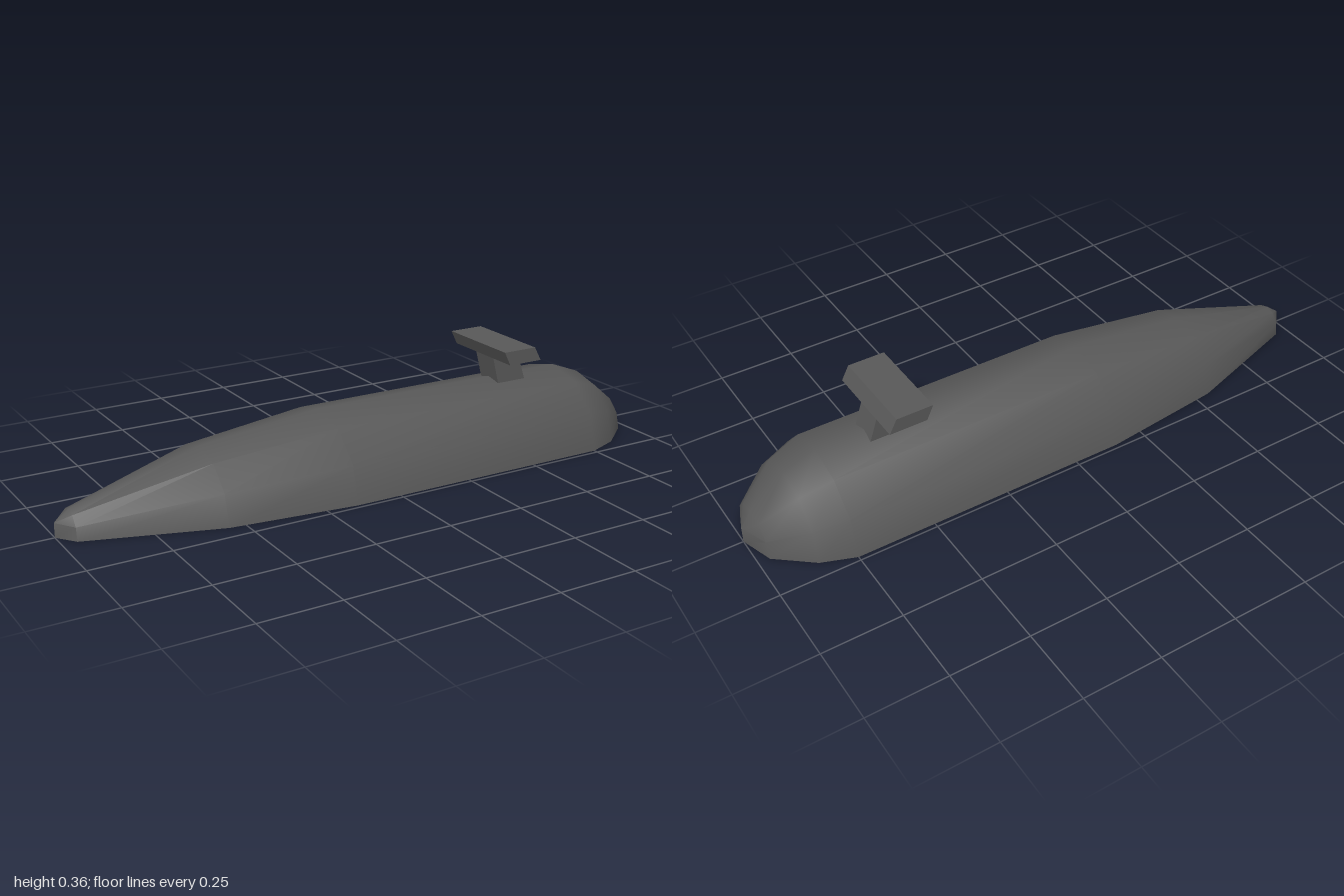
import * as THREE from 'three';
import { toCreasedNormals } from 'three/addons/utils/BufferGeometryUtils.js';

const material = new THREE.MeshStandardMaterial({ color: 0x585858, side: THREE.DoubleSide });

// Half cross-section of the hull at full size: [z, y] from the rim to the ridge
const half = [[0.236, 0], [0.205, 0.118], [0.118, 0.205], [0, 0.235]];
const section = [...half.map(([z, y]) => [-z, y]), ...half.slice(0, 3).reverse()];

// Stations along the hull: [x, width scale, height scale]
const stations = [
  [-0.955, 0.25, 0.34], [-0.55, 0.805, 0.805], [-0.15, 1, 1],
  [0.75, 1, 1], [0.855, 0.83, 0.83], [0.965, 0.445, 0.445],
];

// Each end closes on a short upright edge
function tip(x, height) {
  return section.map(([, y]) => [x, y > 0 ? height : 0, 0]);
}

// Open-bottomed shell lofted through the rings
function hullGeometry() {
  const rings = [
    tip(-1, 0.045),
    ...stations.map(([x, w, h]) => section.map(([z, y]) => [x, y * h, z * w])),
    tip(1, 0.054),
  ];
  const positions = [];
  const same = (p, q) => p.every((v, k) => v === q[k]);
  const triangle = (a, b, c) => {
    if (!same(a, b) && !same(b, c) && !same(a, c)) positions.push(...a, ...b, ...c);
  };
  for (let i = 0; i < rings.length - 1; i++) {
    for (let j = 0; j < section.length - 1; j++) {
      const [a, b] = [rings[i][j], rings[i][j + 1]];
      const [c, d] = [rings[i + 1][j], rings[i + 1][j + 1]];
      triangle(a, b, c);
      triangle(b, d, c);
    }
  }
  const geometry = new THREE.BufferGeometry();
  geometry.setAttribute('position', new THREE.Float32BufferAttribute(positions, 3));
  return toCreasedNormals(geometry, 0.65);
}

// Side outline [x, y] extruded evenly across z
function slab(name, outline, width) {
  const shape = new THREE.Shape(outline.map(([x, y]) => new THREE.Vector2(x, y)));
  const geometry = new THREE.ExtrudeGeometry(shape, { depth: width, bevelEnabled: false });
  geometry.translate(0, 0, -width / 2);
  const mesh = new THREE.Mesh(geometry, material);
  mesh.name = name;
  return mesh;
}

export function createModel() {
  const model = new THREE.Group();
  model.name = 'hull with raised fin';

  const hull = new THREE.Mesh(hullGeometry(), material);
  hull.name = 'hull';
  model.add(hull);

  // Leaning post and the crosswise wing on top of it
  model.add(slab('post', [[0.492, 0.215], [0.598, 0.215], [0.565, 0.314], [0.467, 0.314]], 0.094));
  model.add(slab('wing', [[0.46, 0.314], [0.58, 0.314], [0.556, 0.359], [0.438, 0.359]], 0.296));
  return model;
}
